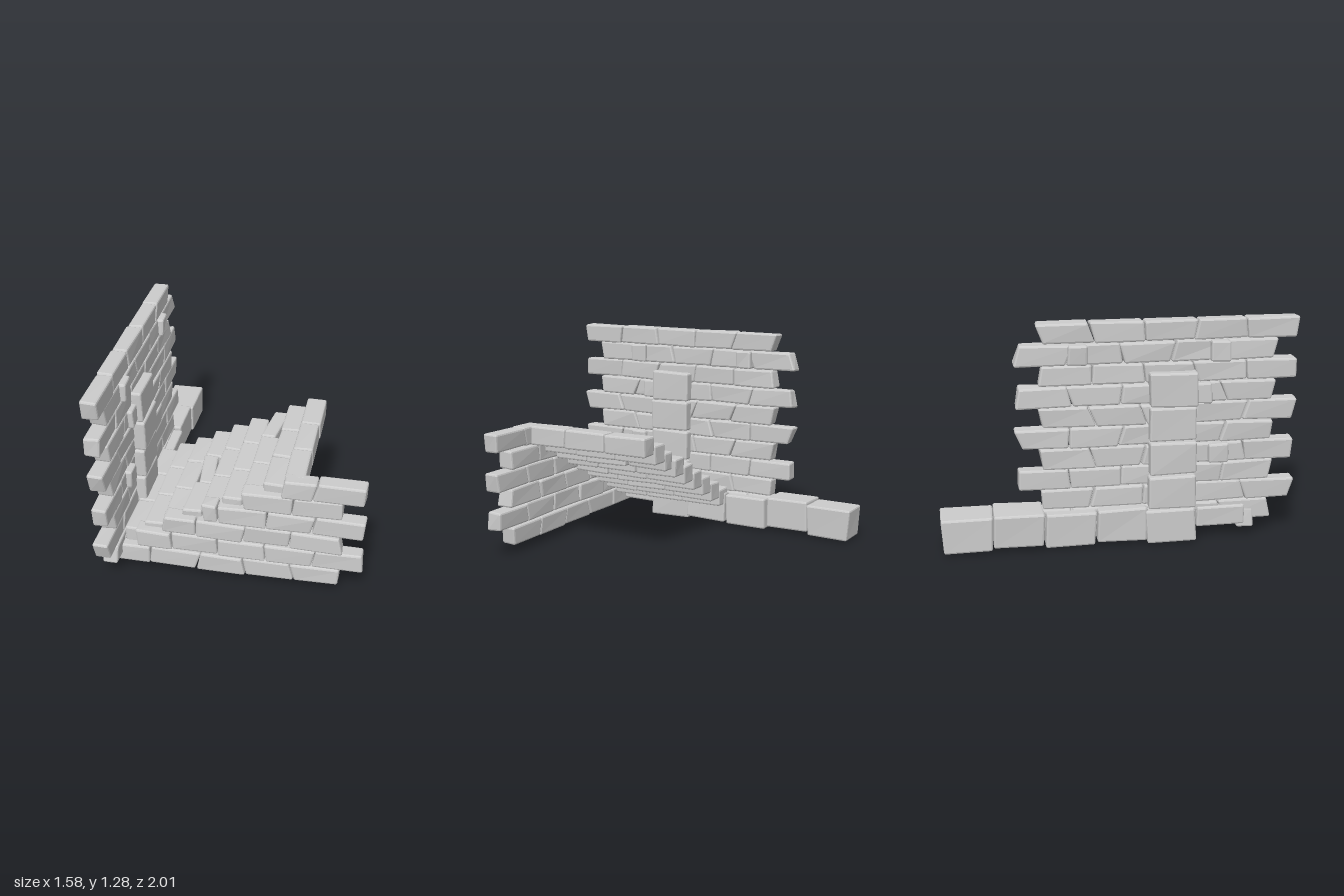
import * as THREE from 'three';
import { RoundedBoxGeometry } from 'three/addons/geometries/RoundedBoxGeometry.js';

const material = new THREE.MeshStandardMaterial({ color: 0xcccccc, flatShading: true });

// Small seeded generator, -1..1
let seed = 7;
function rnd() {
  seed = (seed * 16807) % 2147483647;
  return (seed / 2147483647) * 2 - 1;
}

// Chamfered brick spanning min..max. Its corners are nudged a little, and its two
// ends along `axis` lean by the given slopes so neighbours keep parallel joints.
function brick(name, min, max, axis = 'x', leanLo = 0, leanHi = 0, wobble = 0.004, lean = 'y') {
  const size = max.map((v, i) => v - min[i]);
  const geo = new RoundedBoxGeometry(size[0], size[1], size[2], 1, 0.011);
  const offsets = Array.from({ length: 8 }, () => new THREE.Vector3(rnd(), rnd(), rnd()).multiplyScalar(wobble));
  const pos = geo.attributes.position;
  const v = new THREE.Vector3();
  for (let i = 0; i < pos.count; i++) {
    v.fromBufferAttribute(pos, i);
    const corner = (v.x > 0 ? 1 : 0) + (v.y > 0 ? 2 : 0) + (v.z > 0 ? 4 : 0);
    const shift = Math.sign(v[lean]) * (v[axis] > 0 ? leanHi : leanLo);
    v.add(offsets[corner]);
    v[axis] += shift;
    pos.setXYZ(i, v.x, v.y, v.z);
  }
  const mesh = new THREE.Mesh(geo, material);
  mesh.name = name;
  mesh.position.set(...min.map((m, i) => (m + max[i]) / 2));
  return mesh;
}

// Course of bricks between successive joints; place(a, b) gives the corners
function course(group, name, joints, axis, place, slant = 0.012) {
  const leans = joints.map(() => rnd() * slant);
  for (let i = 0; i < joints.length - 1; i++) {
    const [min, max] = place(joints[i] + 0.002, joints[i + 1] - 0.002);
    group.add(brick(name, min, max, axis, leans[i], leans[i + 1]));
  }
}

function namedGroup(parent, name) {
  const g = new THREE.Group();
  g.name = name;
  parent.add(g);
  return g;
}

export function createModel() {
  seed = 7;
  const model = new THREE.Group();
  model.name = 'brickStaircase';

  // Large foundation blocks under the tall wall
  const foundation = namedGroup(model, 'foundation');
  [-1, -0.715, -0.425, -0.135, 0.14].forEach((z, i) => {
    const x = [-0.78, -0.79, -0.775, -0.775, -0.785][i];
    const y = [0.01, 0.025, 0.01, 0.02, 0.005][i];
    foundation.add(brick('foundationBlock', [x, y, z], [x + 0.21, y + 0.195, z + 0.28], 'z', rnd() * 0.006, rnd() * 0.006));
  });

  // Pillar standing through the tall wall
  const pillar = namedGroup(model, 'pillar');
  for (let i = 0; i < 4; i++) {
    const x = [-0.785, -0.78, -0.77, -0.78][i];
    const y = 0.21 + i * 0.197;
    pillar.add(brick('pillarBlock', [x, y, 0.155], [x + 0.21, y + 0.19, 0.42]));
  }

  // Tall wall in running bond
  const wall = namedGroup(model, 'tallWall');
  for (let k = 0; k < 10; k++) {
    const y = 0.1 + k * 0.118;
    const start = k % 2 ? -0.445 : -0.57;
    const joints = [0, 1, 2, 3, 4, 5].map((i) => start + i * 0.287);
    course(wall, 'wallBrick', joints, 'z', (a, b) => {
      const x = -0.72 + rnd() * 0.004;
      return [[x, y, a], [x + 0.092, y + 0.115, b]];
    }, 0.018);
  }

  // Short bricks laid crosswise, poking out of both wall faces
  [[8, -0.24], [8, 0.55], [6, 0.45], [3, 0.55]].forEach(([k, z]) => {
    const y = 0.1 + k * 0.118;
    wall.add(brick('crossBrick', [-0.755, y, z - 0.055], [-0.598, y + 0.115, z + 0.055]));
  });

  // Stair treads, each a row of three bricks, rising along x
  const stairs = namedGroup(model, 'stairs');
  for (let i = -1; i < 9; i++) {
    const x = -0.62 + i * 0.1178;
    const top = 0.25 + i * 0.0625;
    for (let j = 0; j < 3; j++) {
      const z = -0.132 + j * 0.284;
      // Two bricks sit askew
      const skew = i === 6 && j === 0 ? -0.016 : i === 3 && j === 1 ? 0.016 : rnd() * 0.002;
      const inset = Math.abs(skew) > 0.01 ? 0.014 : 0.001;
      stairs.add(brick('treadBrick', [x + inset, top - 0.115, z], [x + 0.1168 - inset, top, z + 0.28],
        'x', skew, skew, 0.003, 'z'));
    }
  }

  // Stepped side wall at the front of the stairs
  const side = namedGroup(model, 'sideWall');
  const courses = [
    [-0.73, -0.46, -0.17, 0.1, 0.38, 0.655],
    [-0.54, -0.33, -0.055, 0.225, 0.505, 0.787],
    [-0.38, -0.18, 0.1, 0.37, 0.66],
    [-0.14, -0.05, 0.23, 0.5, 0.787],
    [0.09, 0.38, 0.66],
    [0.32, 0.502, 0.785],
  ];
  courses.forEach((joints, k) => {
    const y = 0.05 + k * 0.118;
    course(side, 'sideWallBrick', joints, 'x', (a, b) => {
      const z = 0.667 + rnd() * 0.008;
      return [[a, y, z], [b, y + 0.113, z + 0.098]];
    });
  });

  return model;
}
